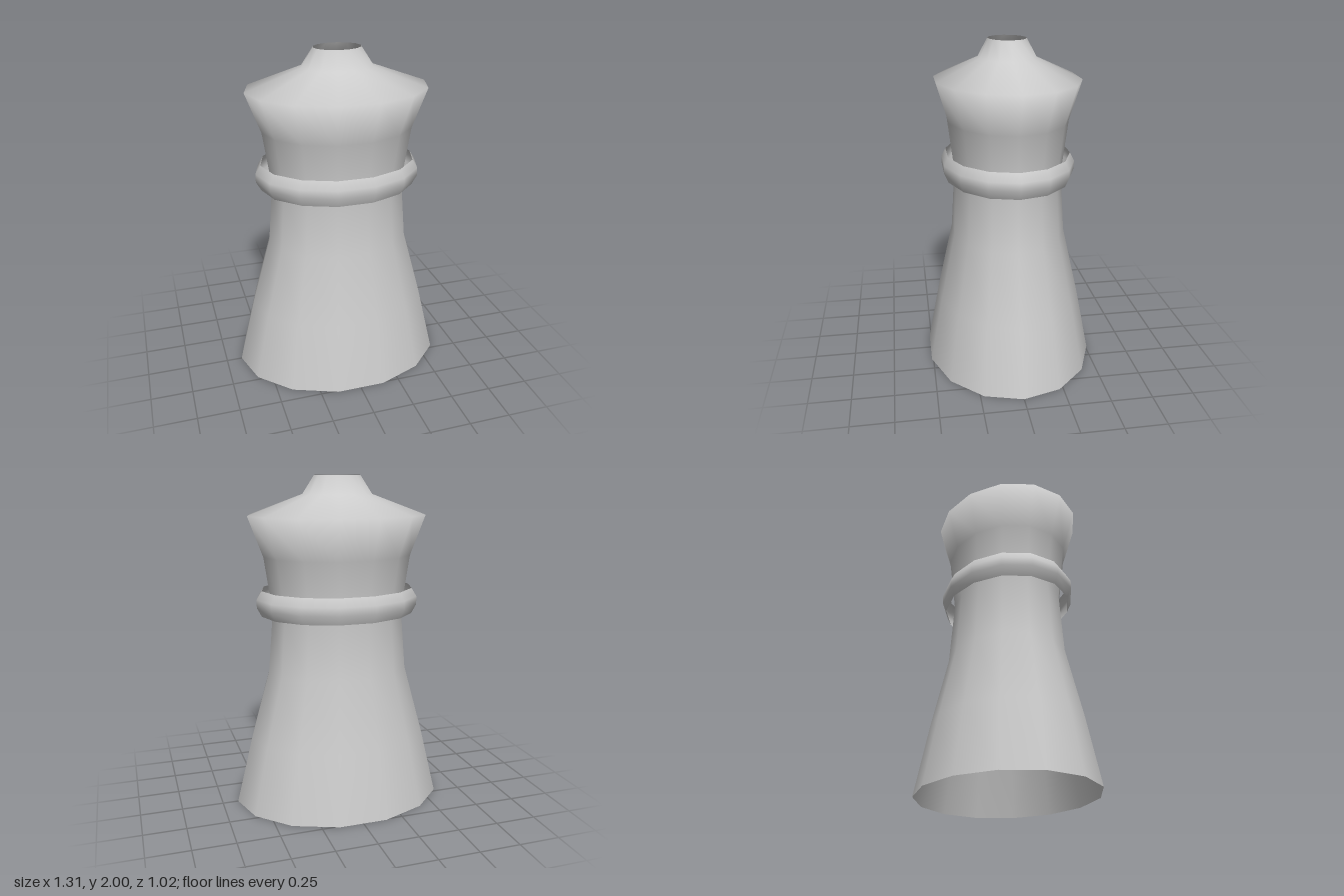
import * as THREE from 'three';

const SIDES = 14;
const DEPTH = 0.8; // front-to-back flattening of the oval section

// Open oval shell turned from [radius, height] pairs, bottom to top
function ovalShell(name, profile, material) {
  const points = profile.map(([r, y]) => new THREE.Vector2(r, y));
  const geometry = new THREE.LatheGeometry(points, SIDES, Math.PI / 2);
  geometry.scale(1, 1, DEPTH);
  const mesh = new THREE.Mesh(geometry, material);
  mesh.name = name;
  return mesh;
}

export function createModel() {
  const model = new THREE.Group();
  model.name = 'robe';
  const cloth = new THREE.MeshStandardMaterial({ color: 0xcccccc, side: THREE.DoubleSide });

  // Garment: flared skirt, waist, chest, wide shoulders and open collar
  model.add(ovalShell('garment', [
    [0.655, 0],
    [0.555, 0.41],
    [0.437, 0.83],
    [0.406, 1.2],
    [0.455, 1.53],
    [0.545, 1.77],
    [0.215, 1.89],
    [0.142, 2],
  ], cloth));

  // Belt: loose band standing off the waist
  model.add(ovalShell('belt', [
    [0.472, 1.175],
    [0.502, 1.23],
    [0.502, 1.28],
    [0.47, 1.33],
  ], cloth));

  return model;
}
